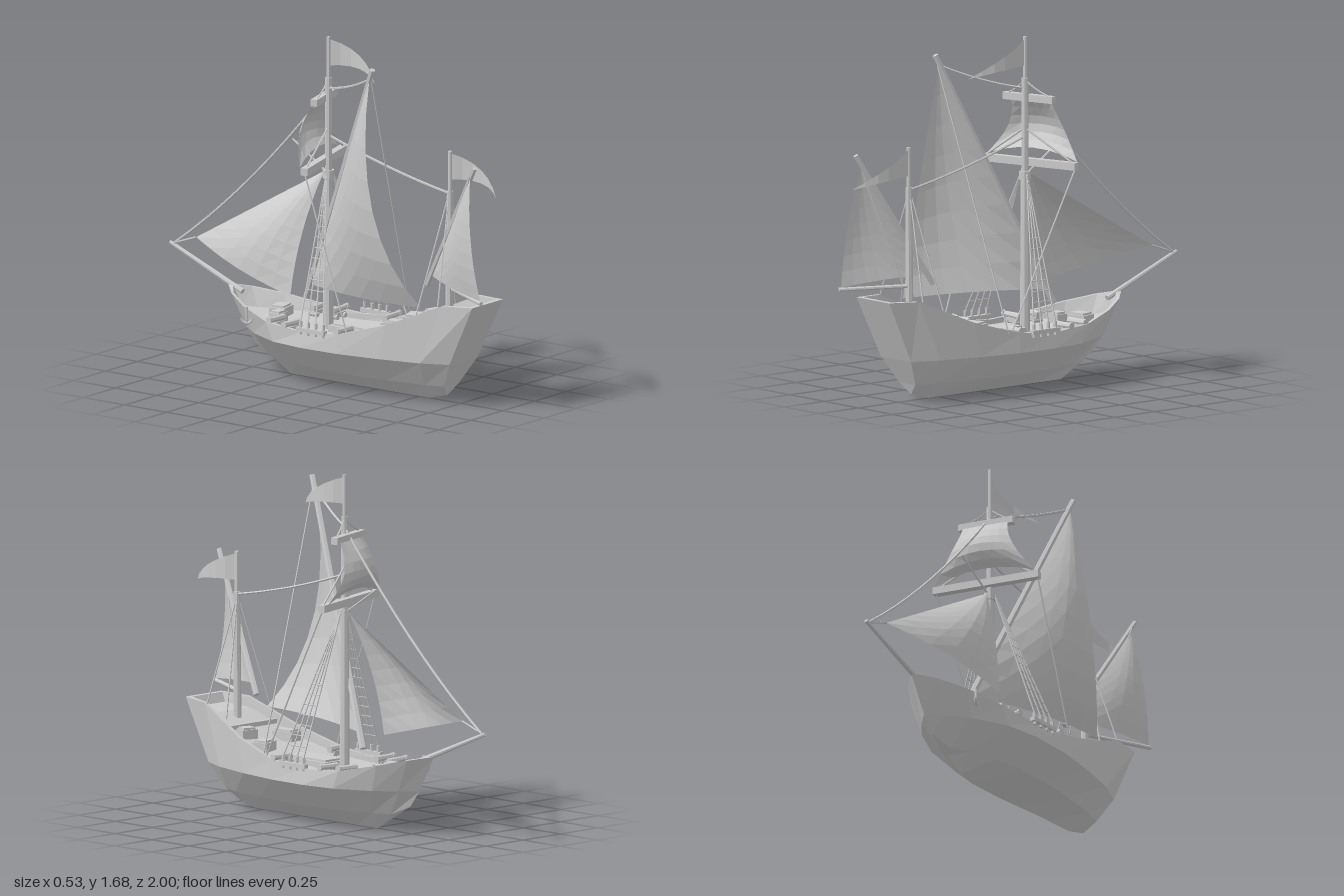
import * as THREE from 'three';

const V = (x, y, z) => new THREE.Vector3(x, y, z);
const solid = new THREE.MeshStandardMaterial({ color: 0xcccccc, flatShading: true });
const cloth = new THREE.MeshStandardMaterial({ color: 0xcccccc, flatShading: true, side: THREE.DoubleSide });

export function createModel() {
  const ship = new THREE.Group();
  ship.name = 'sailingShip';

  const add = (name, geo, mat = solid, parent = ship) => {
    const m = new THREE.Mesh(geo, mat);
    m.name = name;
    parent.add(m);
    return m;
  };
  const box = (name, w, h, d, x, y, z, ry = 0, parent = ship) => {
    const m = add(name, new THREE.BoxGeometry(w, h, d), solid, parent);
    m.position.set(x, y, z);
    m.rotation.y = ry;
    return m;
  };
  // Straight round pole between two points
  const spar = (name, a, b, r0, r1 = r0, sides = 8, parent = ship) => {
    const m = add(name, new THREE.CylinderGeometry(r1, r0, a.distanceTo(b), sides), solid, parent);
    m.position.copy(a).lerp(b, 0.5);
    m.quaternion.setFromUnitVectors(V(0, 1, 0), b.clone().sub(a).normalize());
    return m;
  };
  const rope = (name, a, b, sag = 0, r = 0.004) => {
    const mid = a.clone().lerp(b, 0.5);
    mid.y -= sag * 2;
    add(name, new THREE.TubeGeometry(new THREE.QuadraticBezierCurve3(a, mid, b), sag ? 10 : 1, r, 5));
  };
  // Surface from a rule f(u, v)
  const sheet = (name, nu, nv, f, parent = ship) => {
    const pos = [], idx = [], w = nu + 1;
    for (let j = 0; j <= nv; j++) for (let i = 0; i <= nu; i++) pos.push(...f(i / nu, j / nv).toArray());
    for (let j = 0; j < nv; j++) for (let i = 0; i < nu; i++) {
      const k = j * w + i;
      idx.push(k, k + w, k + 1, k + 1, k + w, k + w + 1);
    }
    const g = new THREE.BufferGeometry();
    g.setAttribute('position', new THREE.Float32BufferAttribute(pos, 3));
    g.setIndex(idx);
    g.computeVertexNormals();
    return add(name, g, cloth, parent);
  };

  // Hull lines from stern to stem: [half width, height, z]
  const sheer = [[.12, .51, .91], [.15, .503, .75], [.215, .38, .46], [.25, .305, .2], [.25, .285, -.02],
    [.235, .3, -.24], [.17, .34, -.43], [.09, .37, -.56], [0, .39, -.65]];
  const chine = [[.11, .765], [.17, .63], [.22, .42], [.255, .2], [.26, -.02], [.235, -.2], [.15, -.38], [.07, -.48], [0, -.55]]
    .map(([x, z]) => [x, .21, z]);
  const bilge = [[.06, .695], [.09, .6], [.12, .4], [.14, .2], [.14, 0], [.12, -.15], [.07, -.3], [.03, -.39], [0, -.49]]
    .map(([x, z], i) => [x, i === 8 ? .13 : .085, z]);
  const keel = [[.03, .67], [0, .56], [0, .4], [0, .2], [0, 0], [0, -.13], [0, -.27], [.06, -.37], [.13, -.49]]
    .map(([y, z]) => [0, y, z]);
  const last = sheer.length - 1;
  const railIn = sheer.map(([x, y, z], i) =>
    [Math.max(0, x - .018), y, z + (i === 0 ? -.025 : i === last ? .03 : 0)]);
  // Deck edge follows the inside of the planking down to each deck height
  const deckEdge = [.465, .45, .33, .27, .255, .26, .27, .28, .29].map((y, i) => {
    const [x, top, z] = railIn[i], t = (top - y) / (top - .21);
    return [Math.max(0, x + (chine[i][0] - sheer[i][0]) * t - .004), y, z + (chine[i][2] - sheer[i][2]) * t];
  });
  const rows = [keel, bilge, chine, sheer, railIn, deckEdge, deckEdge.map(([, y, z]) => [0, y, z])];

  const tris = [];
  const quad = (a, b, c, d) => [a, b, c, a, c, d].forEach(p => tris.push(...p));
  const flip = ([x, y, z]) => [-x, y, z];
  for (let r = 0; r < rows.length - 1; r++) {
    const lo = rows[r], hi = rows[r + 1];
    for (let s = 0; s < last; s++) {
      quad(lo[s], lo[s + 1], hi[s + 1], hi[s]);
      quad(flip(lo[s + 1]), flip(lo[s]), flip(hi[s]), flip(hi[s + 1]));
    }
    quad(flip(lo[0]), lo[0], hi[0], flip(hi[0])); // transom and stern rail
  }
  const hullGeo = new THREE.BufferGeometry();
  hullGeo.setAttribute('position', new THREE.Float32BufferAttribute(tris, 3));
  hullGeo.computeVertexNormals();
  add('hull', hullGeo);

  const deckY = (z) => {
    let i = 0;
    while (i < last - 1 && deckEdge[i + 1][2] > z) i++;
    const a = deckEdge[i], b = deckEdge[i + 1];
    return a[1] + (b[1] - a[1]) * (a[2] - z) / (a[2] - b[2]);
  };

  // Deck fittings
  box('hatch', .15, .04, .28, 0, .27, .15);
  box('hatchLid', .12, .015, .25, 0, .292, .15);
  box('quarterDeckStep', .34, .025, .02, 0, deckY(.59) + .005, .59);
  [[-.1, .45, .07, .12, .1], [.12, .38, .11, .08, .35], [.105, .51, .08, .07, -.3], [.04, -.36, .1, .08, .2], [-.06, -.3, .07, .06, 0]]
    .forEach(([x, z, w, d, ry]) => {
      box('crate', w, .045, d, x, deckY(z) + .02, z, ry);
      box('crateLid', w * .8, .012, d * .8, x, deckY(z) + .046, z, ry);
    });

  // Guns and shroud mounts on both sides
  for (const s of [-1, 1]) {
    for (const z of [-.23, -.125, .19]) {
      const gun = new THREE.Group();
      gun.name = 'cannon';
      const x = z < -.2 ? .17 : .19;
      gun.position.set(s * x, deckY(z) + .042, z);
      spar('barrel', V(-s * .06, 0, 0), V(s * .055, .004, 0), .018, .013, 8, gun);
      spar('muzzle', V(s * .045, .004, 0), V(s * .06, .004, 0), .017, .017, 8, gun);
      box('carriage', .08, .02, .035, -s * .015, -.02, 0, 0, gun);
      for (const wx of [-.045, .015]) spar('wheels', V(s * wx, -.028, -.026), V(s * wx, -.028, .026), .013, .013, 8, gun);
      ship.add(gun);
    }
    box('channelBoard', .025, .02, .17, s * .253, .3, .045);
    // Main shrouds with ratlines
    const feet = [-.02, .025, .07, .115].map(z => V(s * .25, .34, z));
    const head = V(s * .018, 1.03, -.04);
    feet.forEach(f => {
      rope('shroud', f, head);
      spar('deadeye', f.clone().add(V(s * .004, -.065, 0)), f, .009, .009, 6);
    });
    for (let k = 1; k <= 11; k++)
      rope('ratline', feet[0].clone().lerp(head, k * .07), feet[3].clone().lerp(head, k * .07), 0, .0025);
    // Mizzen shrouds
    for (const z of [.6, .73]) rope('mizzenShroud', V(s * .155, z > .7 ? .5 : .44, z), V(0, 1.02, .68));
  }

  // Masts and bowsprit
  spar('mainMast', V(0, .25, -.045), V(0, 1.03, -.045), .024, .02);
  spar('topMast', V(0, 1, -.045), V(0, 1.48, -.045), .018, .016);
  spar('mainFlagPole', V(0, 1.4, -.045), V(0, 1.68, -.045), .01);
  spar('mastCap', V(0, .99, -.045), V(0, 1.03, -.045), .028);
  spar('mizzenMast', V(0, .42, .68), V(0, 1.03, .685), .019, .016);
  spar('mizzenFlagPole', V(0, 1, .685), V(0, 1.225, .685), .01);
  spar('bowsprit', V(0, .36, -.56), V(0, .54, -.995), .014, .009);

  // Lateen spars
  spar('mainLateenYard', V(.03, .38, -.2), V(-.185, 1.61, .36), .018, .015, 6);
  spar('mizzenLateenYard', V(.01, .55, .54), V(-.115, 1.195, .92), .015, .013, 6);
  spar('mizzenBoom', V(0, .555, .69), V(-.155, .55, .99), .01);

  // Triangular sail: straight luff, curved leech, belly pushed to one side
  const lateen = (name, peak, tack, clew, ctrl, belly) => {
    const leech = new THREE.QuadraticBezierCurve3(peak, ctrl, clew);
    sheet(name, 6, 8, (u, v) => peak.clone().lerp(tack, v).lerp(leech.getPoint(v), u)
      .add(V(-belly * Math.sin(Math.PI * u) * Math.sin(Math.PI * v * .75), 0, 0)));
  };
  lateen('mainSail', V(-.18, 1.57, .34), V(.015, .45, -.165), V(-.13, .47, .61), V(-.35, .85, .35), .065);
  lateen('mizzenSail', V(-.11, 1.15, .89), V(0, .6, .575), V(-.15, .56, .98), V(-.19, .85, .925), .03);
  lateen('jib', V(0, 1.02, -.07), V(0, .585, -.84), V(-.15, .42, -.16), V(-.12, .74, -.14), .06);

  // Braced square topsail with its two yards
  const top = new THREE.Group();
  top.name = 'topsailRig';
  top.position.z = -.07;
  top.rotation.y = .29;
  box('lowerYard', .54, .036, .036, 0, 1.073, 0, 0, top);
  box('upperYard', .28, .034, .034, 0, 1.382, 0, 0, top);
  sheet('topsail', 6, 6, (u, v) => {
    const t = 2 * u - 1;
    return V(t * (.115 + .14 * v ** 1.7), 1.37 - .28 * v + .045 * v * v * (1 - t * t),
      -.015 - .085 * Math.sin(Math.PI * Math.min(1, v * .9 + .02)) * (1 - .4 * t * t));
  }, top);
  ship.add(top);

  // Tapering flags that swing to one side and back
  const flag = (name, y, z, len) => sheet(name, 6, 2, (u, v) => V(
    .2 * u - .25 * u * u,
    y - u * u * .07 - .03 * u - (v * .13 * (1 - u) + .07 * u),
    z + len * u));
  flag('mainFlag', 1.67, -.045, .315);
  flag('mizzenFlag', 1.215, .685, .315);

  // Standing and running rigging
  rope('foreStay', V(0, 1.42, -.05), V(0, .54, -.97), .055, .007);
  rope('jibTackLine', V(0, .585, -.84), V(0, .54, -.97), 0, .005);
  rope('mizzenStay', V(0, 1.02, .67), V(0, 1.2, -.045), .015, .006);
  rope('peakHalyard', V(-.18, 1.56, .34), V(0, 1.43, -.045), .015, .006);
  rope('peakSheet', V(-.18, 1.56, .35), V(.24, .31, .265));
  rope('topsailBrace', V(-.25, 1.06, .005), V(-.245, .32, .25));
  rope('topsailBrace', V(.25, 1.06, -.145), V(.24, .32, .24));
  rope('yardLift', V(-.24, 1.08, 0), V(0, 1.24, -.045), 0, .005);
  rope('yardLift', V(.25, 1.08, -.145), V(0, 1.24, -.045), 0, .005);
  rope('upperYardLift', V(-.13, 1.39, -.03), V(0, 1.47, -.045), .01);
  rope('upperYardLift', V(.13, 1.39, -.11), V(0, 1.47, -.045), .01);
  rope('yardStay', V(0, 1.02, -.06), V(0, 1.15, -.26), 0, .005);
  rope('mizzenSheet', V(-.12, 1.15, .89), V(-.02, .55, .7));

  // Small anchor stowed against the bow
  spar('anchorShank', V(-.19, .27, -.39), V(-.19, .345, -.39), .007, .007, 6);
  const fluke = add('anchorFlukes', new THREE.TorusGeometry(.025, .007, 5, 10, Math.PI));
  fluke.position.set(-.19, .29, -.39);
  fluke.rotation.set(0, Math.PI / 2 + .5, Math.PI);

  return ship;
}
